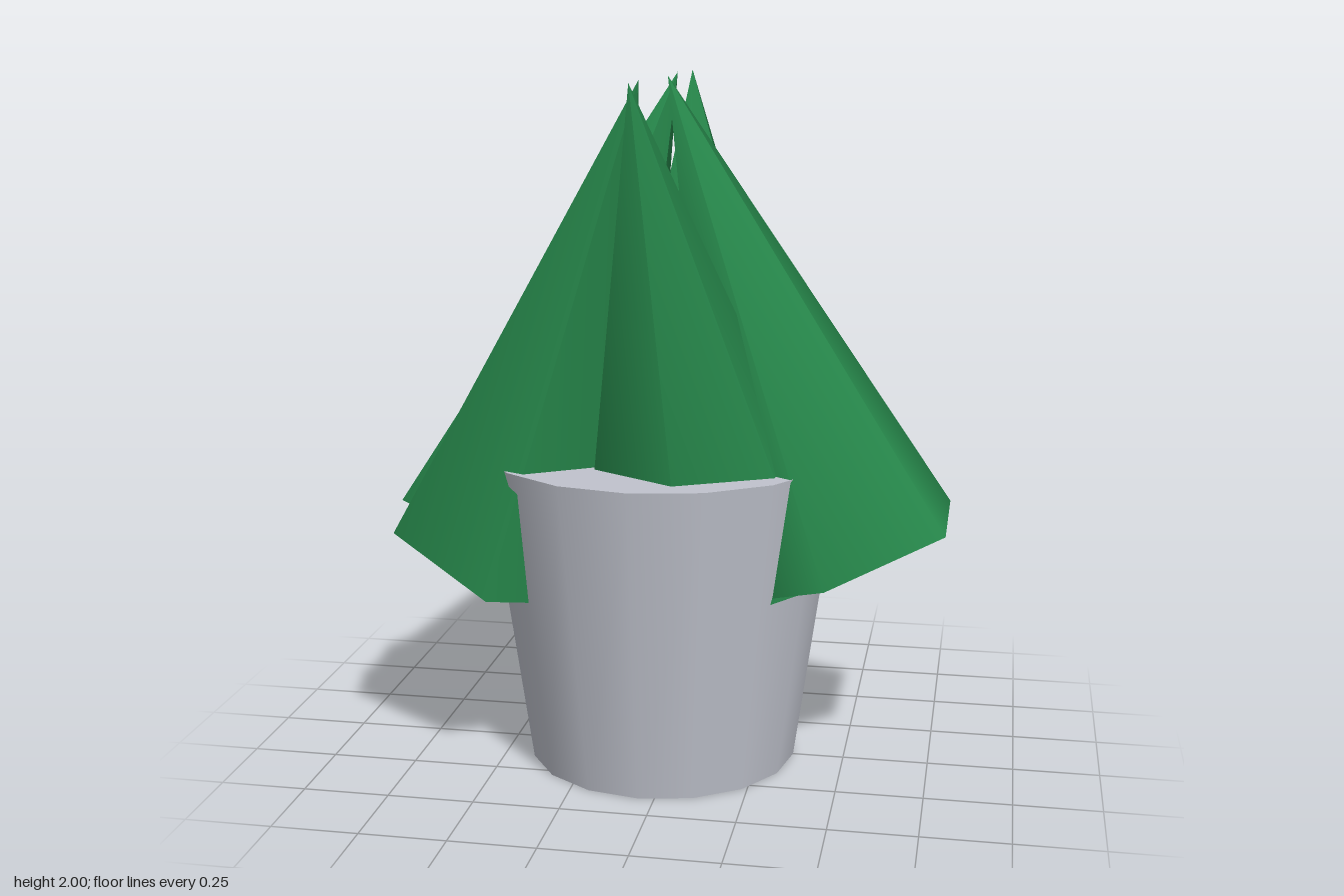
import * as THREE from 'three';

export function createModel() {
  const model = new THREE.Group();
  model.name = 'pottedPlant';

  const leafGreen = new THREE.MeshStandardMaterial({ color: 0x26864a });
  leafGreen.name = 'leaf green';
  const potGrey = new THREE.MeshStandardMaterial({ color: 0xc0c3cd });
  potGrey.name = 'pot grey';

  // Tapered pot, closed at the top by the soil level
  const pot = new THREE.Mesh(new THREE.CylinderGeometry(0.525, 0.395, 0.93, 16), potGrey);
  pot.name = 'pot';
  pot.position.set(-0.045, 0.465, 0);
  model.add(pot);

  // Six-sided spike with its tip at the origin, so it tilts about the tip
  const spike = new THREE.ConeGeometry(0.39, 1.449, 6);
  spike.translate(0, -1.449 / 2, 0);

  function addLeaf(name, x, z, tiltX, tiltZ) {
    const leaf = new THREE.Mesh(spike, leafGreen);
    leaf.name = name;
    leaf.position.set(x, 2, z);
    leaf.rotation.set(tiltX, 0, tiltZ);
    model.add(leaf);
  }

  // One leaf leans left, two mirrored pairs fill the rest
  addLeaf('leftLeaf', -0.03, 0, 0, 0.352);
  for (const [side, s] of [['Front', 1], ['Back', -1]]) {
    addLeaf('right' + side + 'Leaf', -0.055, 0.295 * s, 0.196 * s, -0.294);
    addLeaf('middle' + side + 'Leaf', -0.043, 0.485 * s, 0.312 * s, 0.097);
  }

  return model;
}
